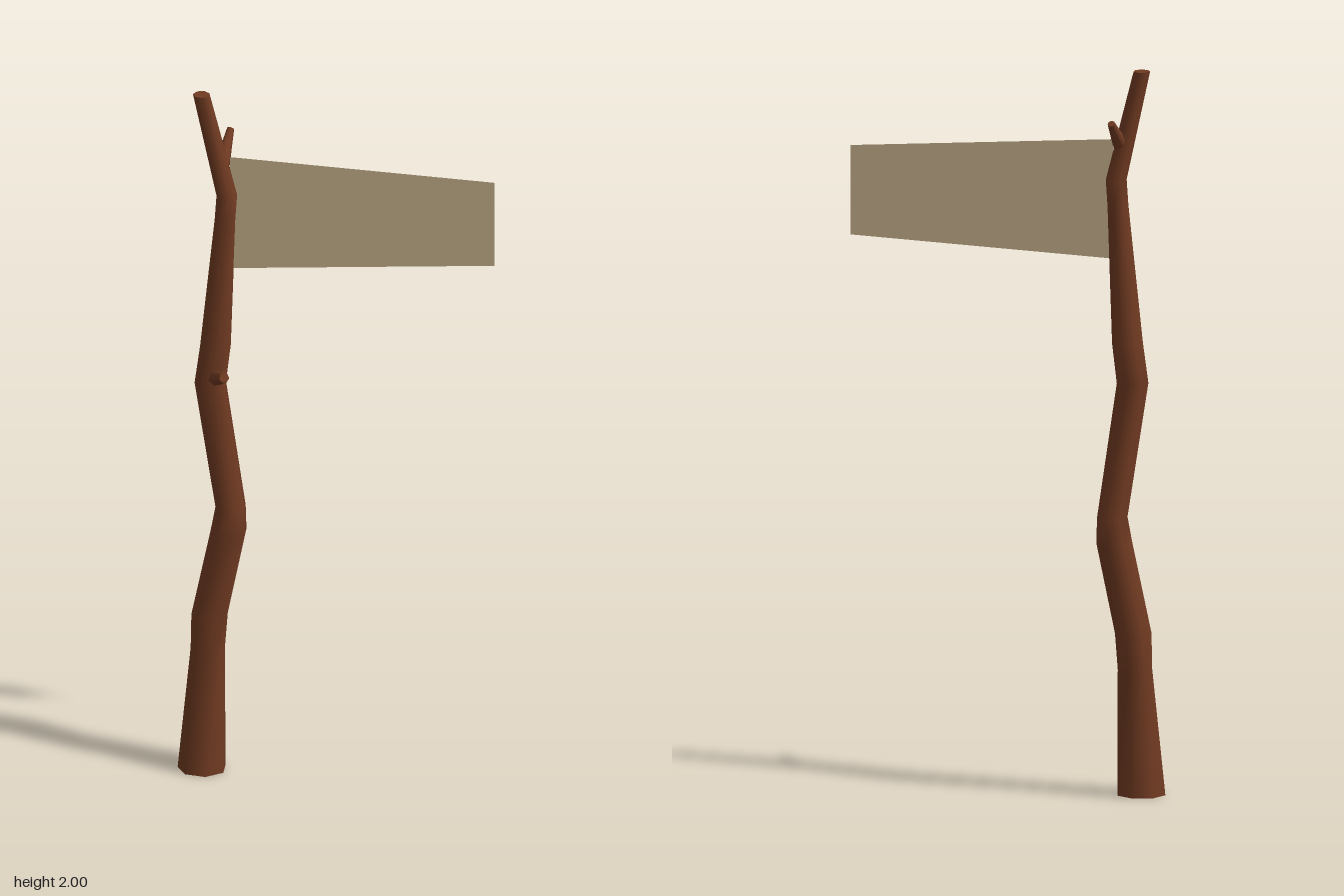
import * as THREE from 'three';

const bark = new THREE.MeshStandardMaterial({ color: 0x713b22 });
bark.name = 'bark brown';
const cloth = new THREE.MeshStandardMaterial({ color: 0xc6b08c, side: THREE.DoubleSide });
cloth.name = 'cloth tan';

const SIDES = 7;

// Crooked tube through rings of [x, y, z, radiusX, radiusZ], with flat end caps
function crookedTrunk(rings) {
  const pos = [], index = [];
  const point = ([x, y, z, rx, rz], i) => {
    const a = Math.PI + (i / SIDES) * Math.PI * 2;
    return [x + Math.cos(a) * rx, y, z + Math.sin(a) * rz];
  };
  for (const ring of rings) for (let i = 0; i < SIDES; i++) pos.push(...point(ring, i));
  for (let r = 0; r < rings.length - 1; r++) {
    for (let i = 0; i < SIDES; i++) {
      const a = r * SIDES + i, b = r * SIDES + (i + 1) % SIDES;
      index.push(a, a + SIDES, b, b, a + SIDES, b + SIDES);
    }
  }
  // Caps have their own vertices so the rims stay sharp
  for (const [ring, up] of [[rings[0], false], [rings[rings.length - 1], true]]) {
    const c = pos.length / 3;
    pos.push(ring[0], ring[1], ring[2]);
    for (let i = 0; i < SIDES; i++) pos.push(...point(ring, i));
    for (let i = 0; i < SIDES; i++) {
      const a = c + 1 + i, b = c + 1 + (i + 1) % SIDES;
      index.push(...(up ? [c, b, a] : [c, a, b]));
    }
  }
  const geo = new THREE.BufferGeometry();
  geo.setAttribute('position', new THREE.Float32BufferAttribute(pos, 3));
  geo.setIndex(index);
  geo.computeVertexNormals();
  return geo;
}

// Tapered stub running from one point to another
function twig(name, from, to, r0, r1) {
  const a = new THREE.Vector3(...from), b = new THREE.Vector3(...to);
  const dir = b.clone().sub(a);
  const mesh = new THREE.Mesh(new THREE.CylinderGeometry(r1, r0, dir.length(), SIDES), bark);
  mesh.position.copy(a).add(b).multiplyScalar(0.5);
  mesh.quaternion.setFromUnitVectors(new THREE.Vector3(0, 1, 0), dir.normalize());
  mesh.name = name;
  return mesh;
}

export function createModel() {
  const model = new THREE.Group();
  model.name = 'branchFlag';

  // Pole: a bent branch, thick at the foot
  const pole = new THREE.Mesh(crookedTrunk([
    [-0.364, 0.00, 0.003, 0.067, 0.061],
    [-0.349, 0.35, -0.010, 0.048, 0.047],
    [-0.344, 0.45, -0.010, 0.051, 0.047],
    [-0.293, 0.70, -0.015, 0.050, 0.052],
    [-0.288, 0.77, -0.015, 0.042, 0.052],
    [-0.342, 1.14, -0.007, 0.044, 0.044],
    [-0.328, 1.25, -0.007, 0.043, 0.042],
    [-0.302, 1.63, -0.006, 0.029, 0.033],
    [-0.297, 1.70, -0.005, 0.029, 0.031],
    [-0.367, 2.00, -0.003, 0.023, 0.024],
  ]), bark);
  pole.name = 'pole';
  model.add(pole);

  // Broken twigs, one in front and one behind
  model.add(twig('frontTwig', [-0.33, 1.165, 0.01], [-0.295, 1.2, 0.084], 0.024, 0.014));
  model.add(twig('backTwig', [-0.312, 1.79, -0.005], [-0.296, 1.868, -0.08], 0.022, 0.01));

  // Flag: a single sheet tapering away from the pole
  const sheet = new THREE.Shape([
    new THREE.Vector2(-0.29, 1.482),
    new THREE.Vector2(0.43, 1.525),
    new THREE.Vector2(0.43, 1.772),
    new THREE.Vector2(-0.29, 1.812),
  ]);
  const flag = new THREE.Mesh(new THREE.ShapeGeometry(sheet), cloth);
  flag.position.z = -0.015;
  flag.name = 'flag';
  model.add(flag);

  return model;
}
